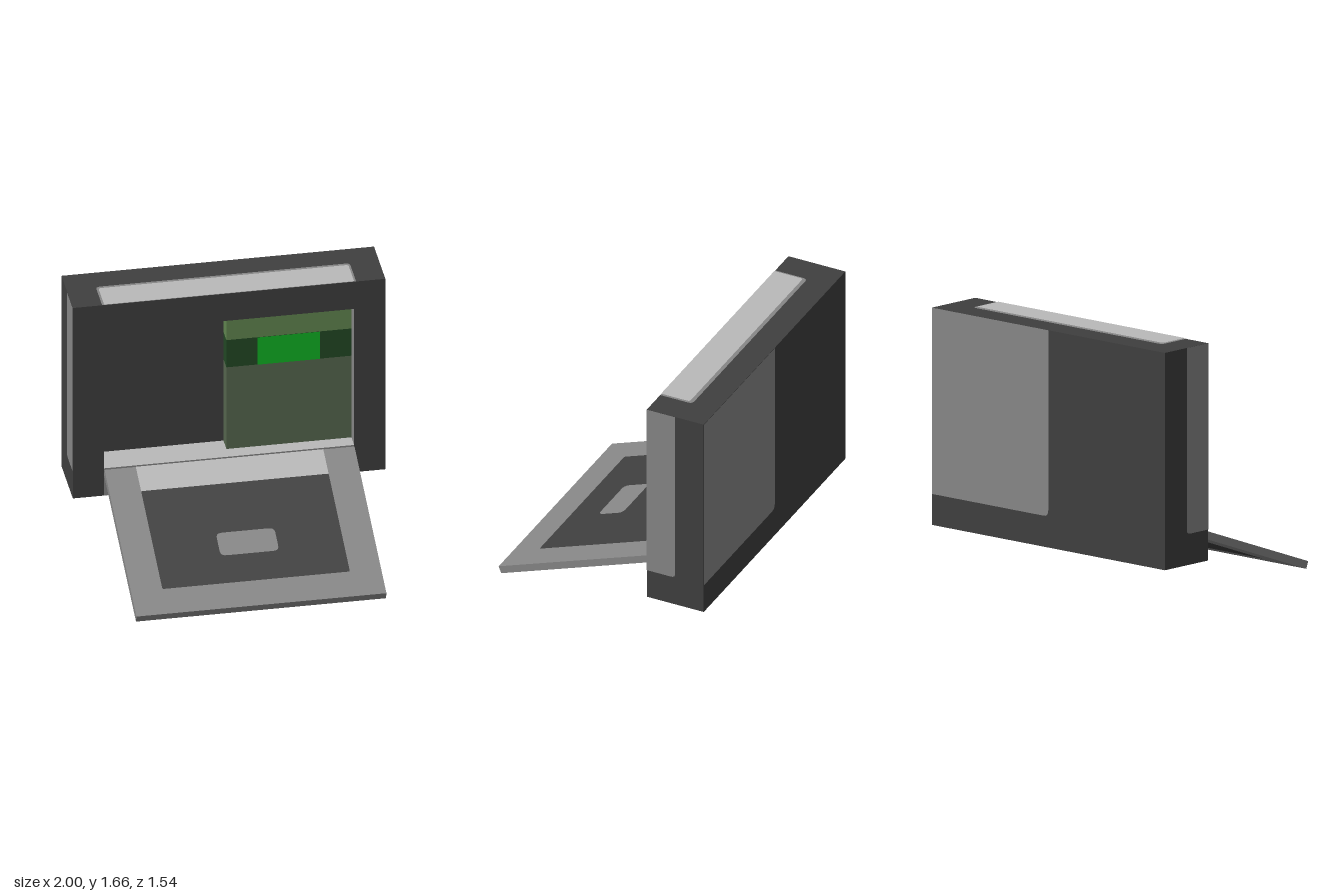
import * as THREE from 'three';

const mat = (name, color) => {
  const m = new THREE.MeshStandardMaterial({ color });
  m.name = name;
  return m;
};

export function createModel() {
  const model = new THREE.Group();
  model.name = 'openCase';

  const dark = mat('charcoal', 0x3f3f3f);
  const grey = mat('midGrey', 0x878787);
  const light = mat('lightGrey', 0xb9b9b9);
  const mossTop = mat('mossGreen', 0x618650);
  const moss = mat('dullGreen', 0x56674e);
  const deep = mat('deepGreen', 0x224824);
  const bright = mat('brightGreen', 0x10b224);

  // Box given by its extents; material may be an array [+x,-x,+y,-y,+z,-z]
  const box = (parent, name, material, [x0, x1], [y0, y1], [z0, z1]) => {
    const mesh = new THREE.Mesh(new THREE.BoxGeometry(x1 - x0, y1 - y0, z1 - z0), material);
    mesh.position.set((x0 + x1) / 2, (y0 + y1) / 2, (z0 + z1) / 2);
    mesh.name = name;
    parent.add(mesh);
  };

  // Flat painted panel with corner radii [bottom left, bottom right, top right, top left]
  const plate = (parent, name, material, [u0, u1], [v0, v1], radii, rotation, position) => {
    const [a, b, c, d] = radii;
    const s = new THREE.Shape();
    s.moveTo(u0 + a, v0);
    s.lineTo(u1 - b, v0);
    if (b) s.quadraticCurveTo(u1, v0, u1, v0 + b);
    s.lineTo(u1, v1 - c);
    if (c) s.quadraticCurveTo(u1, v1, u1 - c, v1);
    s.lineTo(u0 + d, v1);
    if (d) s.quadraticCurveTo(u0, v1, u0, v1 - d);
    s.lineTo(u0, v0 + a);
    if (a) s.quadraticCurveTo(u0, v0, u0 + a, v0);
    const mesh = new THREE.Mesh(new THREE.ShapeGeometry(s, 5), material);
    mesh.rotation.set(...rotation);
    mesh.position.set(...position);
    mesh.name = name;
    parent.add(mesh);
  };
  const square = [0, 0, 0, 0];
  const H = Math.PI / 2;

  // Case: back slab and four frame beams around the recess
  const body = new THREE.Group();
  body.name = 'caseBody';
  model.add(body);
  const rim = [-0.57, -0.37];
  box(body, 'backSlab', dark, [-1, 1], [0.26, 1.66], [-0.77, -0.57]);
  box(body, 'leftBeam', [dark, grey, dark, dark, dark, dark], [0.8, 1], [0.26, 1.66], rim);
  box(body, 'rightBeam', [grey, dark, dark, dark, dark, dark], [-1, -0.8], [0.26, 1.66], rim);
  box(body, 'topBeam', [dark, dark, dark, grey, dark, dark], [-0.8, 0.8], [1.46, 1.66], rim);
  box(body, 'bottomBeam', [dark, dark, light, dark, grey, dark], [-0.8, 0.8], [0.26, 0.46], rim);

  // Painted panels on the outside of the case
  plate(body, 'leftSidePanel', grey, [0.37, 0.57], [0.46, 1.66], [0, 0.03, 0, 0], [0, H, 0], [1.002, 0, 0]);
  plate(body, 'rightSidePanel', grey, [-0.57, -0.37], [0.46, 1.66], [0.03, 0, 0, 0], [0, -H, 0], [-1.002, 0, 0]);
  plate(body, 'backPanel', grey, [-1, 0], [0.46, 1.66], [0, 0.04, 0, 0], [0, Math.PI, 0], [0, 0, -0.772]);
  plate(body, 'topPanelRim', grey, [-0.813, 0.813], [0.37, 0.596], [0, 0, 0.03, 0.03], [-H, 0, 0], [0, 1.661, 0]);
  plate(body, 'topPanel', light, [-0.8, 0.8], [0.37, 0.572], [0, 0, 0.02, 0.02], [-H, 0, 0], [0, 1.664, 0]);

  // Green unit standing in the left half of the recess
  const unit = new THREE.Group();
  unit.name = 'greenUnit';
  model.add(unit);
  const depth = [-0.57, -0.465];
  box(unit, 'unitTop', mossTop, [0, 0.8], [1.26, 1.46], depth);
  box(unit, 'unitBand', deep, [0, 0.8], [1.06, 1.26], depth);
  box(unit, 'unitBase', moss, [0, 0.8], [0.46, 1.06], depth);
  plate(unit, 'display', bright, [0.2, 0.6], [1.06, 1.26], square, [0, 0, 0], [0, 0, -0.462]);

  // Fold-down door; local -z runs up the slope from its front edge
  const door = new THREE.Group();
  door.name = 'door';
  door.position.set(0, 0, 0.755);
  door.rotation.x = THREE.MathUtils.degToRad(20);
  model.add(door);
  box(door, 'doorSlab', grey, [-0.8, 0.8], [0, 0.05], [-1.2, 0]);

  // Inner face of the door
  const up = [-H, 0, 0];
  const r = 0.04;
  plate(door, 'innerPanel', dark, [-0.6, 0.6], [0.2, 1.0], [0.01, 0.01, 0.01, 0.01], up, [0, 0.052, 0]);
  plate(door, 'innerHingeStrip', light, [-0.6, 0.6], [1.0, 1.2], square, up, [0, 0.052, 0]);
  plate(door, 'innerLabel', grey, [-0.19, 0.185], [0.42, 0.605], [r, r, r, r], up, [0, 0.055, 0]);

  // Outer face of the door
  const down = [H, 0, 0];
  plate(door, 'outerPanel', dark, [-0.6, 0.6], [-1.0, -0.2], square, down, [0, -0.002, 0]);
  plate(door, 'outerHingeStrip', light, [-0.6, 0.6], [-1.2, -1.0], square, down, [0, -0.002, 0]);
  box(door, 'handleFront', grey, [-0.2, 0.2], [-0.04, 0], [-0.6, -0.4]);
  box(door, 'handleRear', dark, [-0.2, 0.2], [-0.04, 0], [-0.8, -0.6]);

  return model;
}
